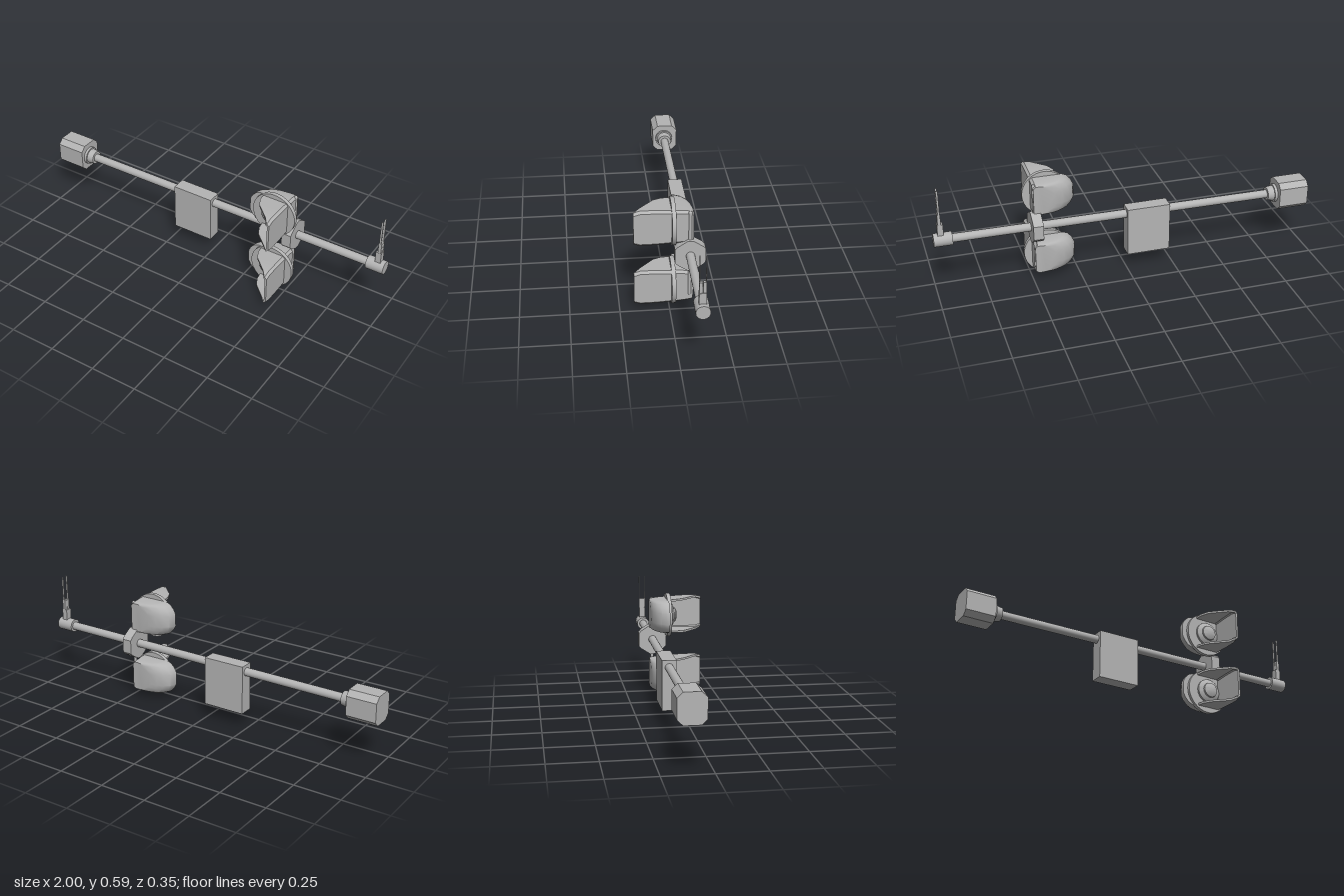
import * as THREE from 'three';
import { toCreasedNormals } from 'three/addons/utils/BufferGeometryUtils.js';

const AXIS_Z = -0.1;

// Solid lofted through matching counter-clockwise xy loops, ordered by rising z
function loft(sections) {
  const n = sections[0].pts.length, pos = [], idx = [];
  sections.forEach(s => s.pts.forEach(p => pos.push(p[0], p[1], s.z)));
  for (let i = 0; i < sections.length - 1; i++) {
    for (let j = 0; j < n; j++) {
      const k = (j + 1) % n, a = i * n + j, b = i * n + k;
      idx.push(a, b, b + n, a, b + n, a + n);
    }
  }
  const cap = (s, base, flip) => {
    const contour = s.pts.map(p => new THREE.Vector2(p[0], p[1]));
    for (const [a, b, c] of THREE.ShapeUtils.triangulateShape(contour, [])) {
      if (flip) idx.push(base + a, base + c, base + b);
      else idx.push(base + a, base + b, base + c);
    }
  };
  cap(sections[0], 0, true);
  cap(sections[sections.length - 1], (sections.length - 1) * n, false);
  const g = new THREE.BufferGeometry();
  g.setAttribute('position', new THREE.Float32BufferAttribute(pos, 3));
  g.setIndex(idx);
  return toCreasedNormals(g, 0.6);
}

// Prism along x whose end outline is given by one quadrant of corners
function prismX(quadrant, x0, x1) {
  const rev = [...quadrant].reverse();
  const pts = [
    ...quadrant,
    ...rev.map(([u, v]) => [-u, v]),
    ...quadrant.map(([u, v]) => [-u, -v]),
    ...rev.map(([u, v]) => [u, -v]),
  ].map(p => new THREE.Vector2(p[0], p[1]));
  const g = new THREE.ExtrudeGeometry(new THREE.Shape(pts), { depth: x1 - x0, bevelEnabled: false });
  return g.rotateY(Math.PI / 2).translate(x0, 0, 0);
}

// Mirrors the upper half of an outline, listed from right to left
const mirrorY = half => [...half, ...[...half].reverse().map(([x, y]) => [x, -y])];

// Rounded lamp body, flat on its left side and bulging to the right
function housingGeometry() {
  const rows = [
    [-0.117, 0.375, 0.079], [-0.108, 0.335, 0.083], [-0.092, 0.3, 0.086],
    [-0.068, 0.273, 0.089], [-0.042, 0.262, 0.091], [-0.025, 0.262, 0.092],
  ];
  return loft(rows.map(([z, xl, h]) => ({
    z,
    pts: mirrorY([
      [0.487, h - 0.012], [0.474, h], [xl + 0.08, h], [xl + 0.055, h * 0.97],
      [xl + 0.033, h * 0.87], [xl + 0.012, h * 0.62], [xl, h * 0.36],
    ]),
  })));
}

// C-shaped visor: upright side wall with upper and lower plates cut away in a sweep
function visorGeometry() {
  const t = 0.011;
  const rows = [
    [-0.025, 0.343, 0.092], [0.03, 0.35, 0.095], [0.072, 0.37, 0.097],
    [0.145, 0.447, 0.097], [0.177, 0.474, 0.087],
  ];
  return loft(rows.map(([z, xl, h]) => {
    const outer = [[xl, -h], [0.475, -h], [0.487, -h + 0.013], [0.487, h - 0.013], [0.475, h], [xl, h]];
    const xi = Math.min(xl, 0.469);
    const inner = [[xi, h - t], [0.47, h - t], [0.476, h - t - 0.006],
      [0.476, -h + t + 0.006], [0.47, -h + t], [xi, -h + t]];
    return { z, pts: [...outer, ...inner] };
  }));
}

export function createModel() {
  const root = new THREE.Group();
  root.name = 'signalArm';
  const grey = new THREE.MeshStandardMaterial({ color: 0xb4b4b4 });
  grey.name = 'grey';

  const add = (name, geometry, x, y, z, parent = root) => {
    const m = new THREE.Mesh(geometry, grey);
    m.name = name;
    m.position.set(x, y, z);
    parent.add(m);
    return m;
  };
  // Cylinder lying along x
  const rodX = (name, x0, x1, y, r0, r1 = r0) => add(
    name, new THREE.CylinderGeometry(r1, r0, x1 - x0, 32).rotateZ(-Math.PI / 2), (x0 + x1) / 2, y, AXIS_Z);

  // Long bar, rising very slightly towards the tip
  rodX('mainBar', -0.8, 0.92, 0.311, 0.022).rotation.z = 0.005;
  rodX('tipSocket', 0.905, 1, 0.316, 0.035);

  // Heavy end block with its stepped collar
  add('endBlock', prismX([[0.07, 0.05], [0.042, 0.077]], -1, -0.84), 0, 0.307, -0.105);
  rodX('collarFlange', -0.842, -0.825, 0.307, 0.049);
  rodX('collar', -0.83, -0.79, 0.307, 0.042, 0.036);

  // Hanging control box
  add('controlBox', new THREE.BoxGeometry(0.23, 0.263, 0.075), -0.117, 0.216, AXIS_Z);

  // Clamp ring and the upright rod carrying the lamps
  add('clampRing', prismX([[0.076, 0.037], [0.062, 0.052], [0.014, 0.083]], 0.452, 0.505), 0, 0.312, AXIS_Z);
  add('lampRod', new THREE.CapsuleGeometry(0.009, 0.459, 8, 16), 0.483, 0.312, AXIS_Z);

  // Two lamps
  const housing = housingGeometry(), visor = visorGeometry();
  const disc = new THREE.CylinderGeometry(0.12, 0.12, 0.021, 64).rotateX(Math.PI / 2);
  const lens = new THREE.LatheGeometry([
    [0.066, 0], [0.066, 0.012], [0.058, 0.018], [0.042, 0.024], [0.04, 0.032], [0.025, 0.039], [0, 0.042],
  ].map(p => new THREE.Vector2(p[0], p[1])), 40).rotateX(Math.PI / 2);
  for (const [name, y] of [['upperLamp', 0.462], ['lowerLamp', 0.122]]) {
    const lamp = new THREE.Group();
    lamp.name = name;
    lamp.position.y = y;
    root.add(lamp);
    add('housing', housing, 0, 0.001, 0, lamp);
    add('visor', visor, 0, 0.001, 0, lamp);
    add('backDisc', disc, 0.409, -0.001, -0.02, lamp);
    add('lens', toCreasedNormals(lens, 0.6), 0.409, 0, -0.011, lamp);
  }

  // Twin prongs on a stepped foot at the tip
  add('prongFoot', new THREE.BoxGeometry(0.03, 0.075, 0.035), 0.962, 0.368, AXIS_Z);
  for (const s of [-1, 1]) {
    add('prongSleeve', new THREE.BoxGeometry(0.016, 0.06, 0.0165), 0.965, 0.431, AXIS_Z + s * 0.009);
    add('prong', new THREE.BoxGeometry(0.01, 0.145, 0.004), 0.964, 0.5225, AXIS_Z + s * 0.0155);
  }
  return root;
}
